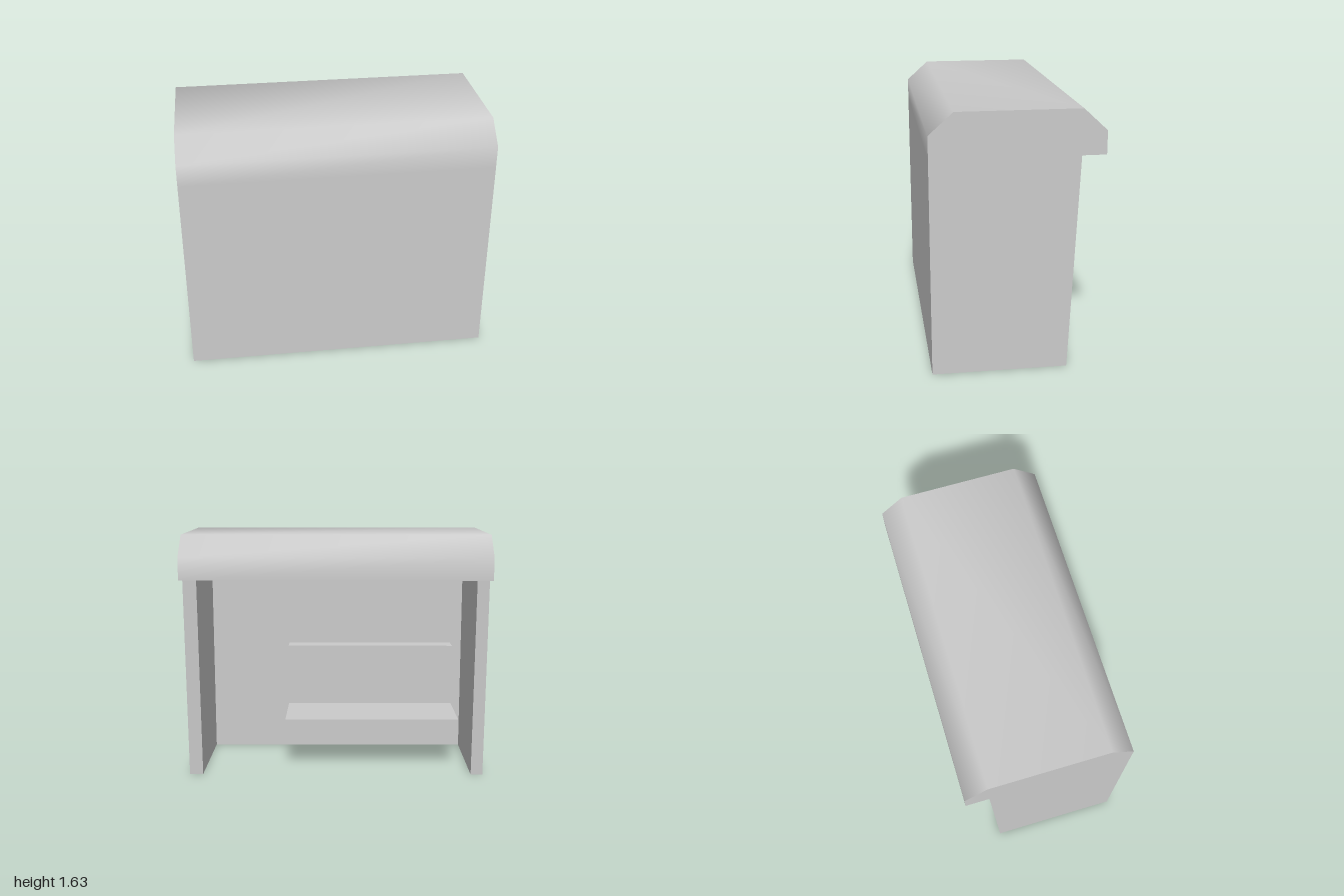
import * as THREE from 'three';
import { toCreasedNormals } from 'three/addons/utils/BufferGeometryUtils.js';

const material = new THREE.MeshStandardMaterial({ color: 0xcccccc, side: THREE.DoubleSide });

// Open strip: a [z, y] path swept along x, smooth only where it bends gently
function strip(name, path, x0, x1) {
  const pos = [];
  for (let i = 0; i < path.length - 1; i++) {
    const [pz, py] = path[i], [qz, qy] = path[i + 1];
    pos.push(x0, py, pz, x1, py, pz, x1, qy, qz);
    pos.push(x0, py, pz, x1, qy, qz, x0, qy, qz);
  }
  const geo = new THREE.BufferGeometry();
  geo.setAttribute('position', new THREE.Float32BufferAttribute(pos, 3));
  return named(name, toCreasedNormals(geo, 0.9));
}

// Flat panel with a [z, y] outline at a given x, facing +x (dir 1) or -x (dir -1)
function panel(name, outline, x, dir) {
  const shape = new THREE.Shape(outline.map(([z, y]) => new THREE.Vector2(-dir * z, y)));
  const geo = new THREE.ShapeGeometry(shape);
  geo.rotateY(dir * Math.PI / 2).translate(x, 0, 0);
  return named(name, geo);
}

function named(name, geo) {
  const mesh = new THREE.Mesh(geo, material);
  mesh.name = name;
  return mesh;
}

export function createModel() {
  const model = new THREE.Group();
  model.name = 'shelter';

  const front = 0.53, inner = 0.38, ceiling = 1.355;
  const innerLeft = 0.91, innerRight = -0.92;
  const footEdge = [-0.31, 0], topEdge = [-0.375, ceiling];
  const roofPath = [[front, ceiling], [front, 1.5], [0.38, 1.635],
    [-0.38, 1.635], [-0.525, 1.5], [-0.525, ceiling]];

  // Roof with softly shaded bevels, overhang underside and ceiling
  const roof = new THREE.Group();
  roof.name = 'roof';
  roof.add(
    strip('roofShell', roofPath, -1, 1),
    strip('overhangUnderside', [[-0.525, ceiling], topEdge], -1, 1),
    strip('ceiling', [topEdge, [inner, ceiling]], innerRight, innerLeft));

  // Long closed wall, hollow and open at the ground
  const wall = new THREE.Group();
  wall.name = 'longWall';
  wall.add(
    strip('outerFace', [[front, 0], [front, ceiling]], -1, 1),
    strip('innerFace', [[inner, ceiling], [inner, 0]], innerRight, innerLeft));

  // Side walls with sloping open edges
  const outer = [[front, 0], ...roofPath.slice(1), topEdge, footEdge];
  const inside = [[inner, 0], [inner, ceiling], topEdge, footEdge];
  for (const [name, dir, x] of [['leftWall', 1, innerLeft], ['rightWall', -1, innerRight]]) {
    const side = new THREE.Group();
    side.name = name;
    side.add(
      panel('outerFace', outer, dir, dir),
      panel('innerFace', inside, x, -dir),
      strip('slopingEdge', [topEdge, footEdge], Math.min(x, dir), Math.max(x, dir)));
    model.add(side);
  }

  // L-shaped bench against the long wall, open underneath
  const bench = new THREE.Group();
  bench.name = 'bench';
  const benchPath = [[inner, 0.787], [0.26, 0.787], [0.26, 0.357], [-0.2, 0.357], [-0.2, 0.297]];
  const benchLeft = 0.35, benchRight = -0.84;
  const benchEnd = [...benchPath, [inner, 0.297]];
  bench.add(
    strip('seatAndBackrest', benchPath, benchRight, benchLeft),
    panel('leftEnd', benchEnd, benchLeft, 1),
    panel('rightEnd', benchEnd, benchRight, -1));

  model.add(roof, wall, bench);
  return model;
}
